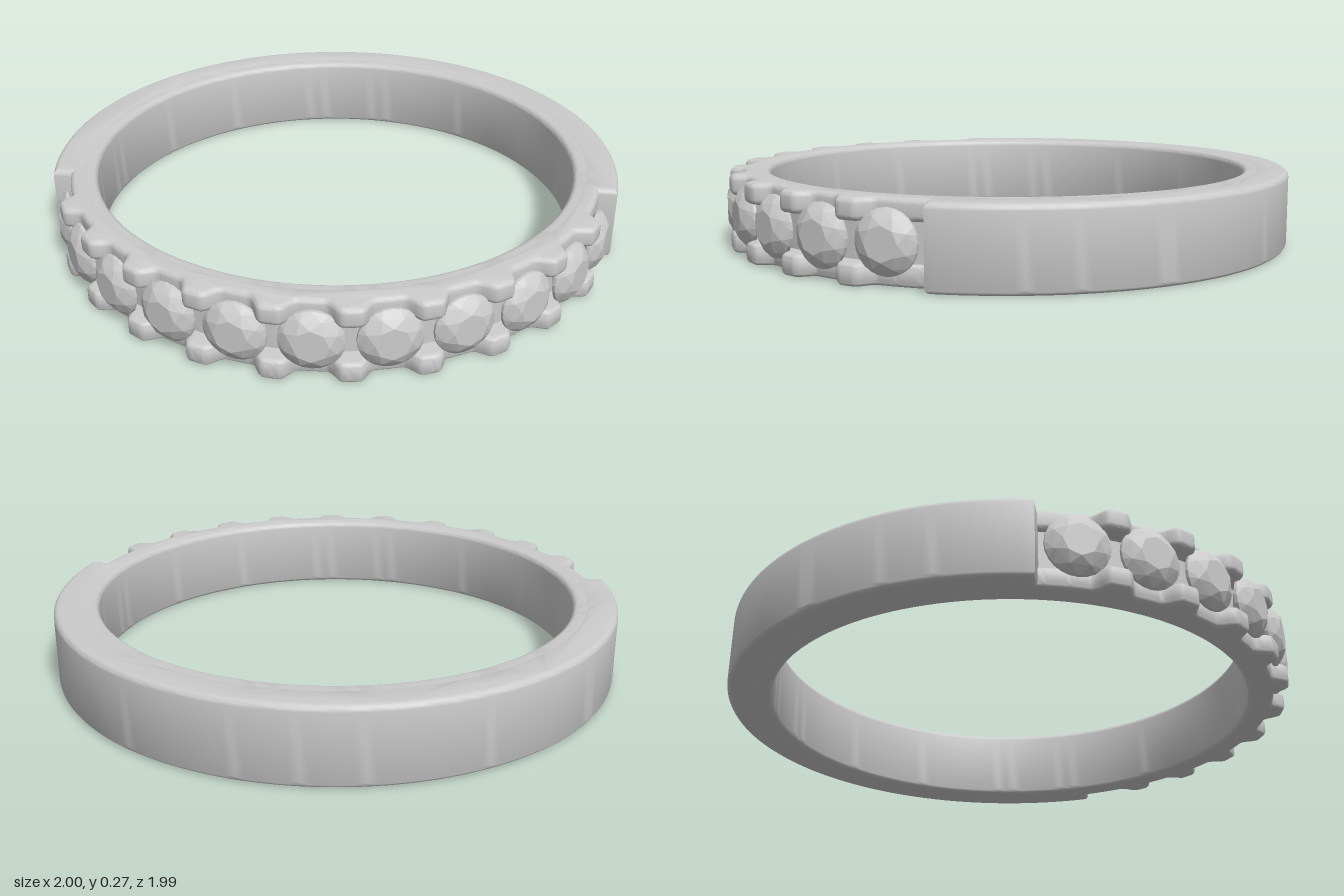
import * as THREE from 'three';
import { toCreasedNormals } from 'three/addons/utils/BufferGeometryUtils.js';
import { ConvexGeometry } from 'three/addons/geometries/ConvexGeometry.js';

const H = 0.265;                          // band height
const INNER = 0.845, CORE = 0.92;         // bore and channel floor radii
const STEP = THREE.MathUtils.degToRad(14); // angle between stones
const SIDE = 5;                           // stones on each side of the middle one

// plan point at angle a from the front (+z), ready for extruding upwards
const plan = (r, a) => new THREE.Vector2(r * Math.sin(a), -r * Math.cos(a));

// flat outline raised from y0 to y0 + h with rounded edges
function slab(points, y0, h, bevel) {
  const geo = new THREE.ExtrudeGeometry(new THREE.Shape(points), {
    depth: h - 2 * bevel, bevelThickness: bevel, bevelSize: bevel,
    bevelOffset: -bevel, bevelSegments: 4, steps: 1,
  });
  geo.rotateX(-Math.PI / 2);
  geo.translate(0, y0 + bevel, 0);
  return toCreasedNormals(geo, 0.7);
}

// outer radius of a rail: prongs between stones, notches beside them
function railRadius(a) {
  const k = THREE.MathUtils.clamp(Math.round(a / STEP), -SIDE, SIDE);
  let t = Math.abs(a - k * STEP);
  if (Math.abs(a) > SIDE * STEP) t = 0;
  return 0.938 + 0.05 * THREE.MathUtils.smoothstep(t, 0.045, 0.095);
}

// brilliant-cut stone facing +z, girdle at z = 0
function stoneGeometry() {
  const pts = [new THREE.Vector3(0, 0, -0.06)];
  const ring = (n, r, z, turn) => {
    for (let i = 0; i < n; i++) {
      const a = ((i + turn) / n) * Math.PI * 2;
      pts.push(new THREE.Vector3(r * Math.cos(a), r * Math.sin(a), z));
    }
  };
  ring(8, 0.055, 0.04, 0);
  ring(8, 0.083, 0.025, 0.5);
  ring(24, 0.102, 0.005, 0);
  ring(24, 0.102, -0.005, 0);
  return new ConvexGeometry(pts);
}

export function createModel() {
  const ringGroup = new THREE.Group();
  ringGroup.name = 'ring';
  const metal = new THREE.MeshStandardMaterial({ color: 0xcccccc });
  const gem = new THREE.MeshStandardMaterial({ color: 0xcccccc, flatShading: true });
  const add = (name, geo, mat) => {
    const mesh = new THREE.Mesh(geo, mat);
    mesh.name = name;
    ringGroup.add(mesh);
    return mesh;
  };

  // inner band, rounded at the bore edges
  const b = 0.02;
  const profile = [new THREE.Vector2(CORE, 0.002), new THREE.Vector2(CORE, H - 0.002)];
  for (let i = 0; i <= 4; i++) {
    const a = (i / 4) * Math.PI / 2;
    profile.push(new THREE.Vector2(INNER + b - b * Math.sin(a), H - b + b * Math.cos(a)));
  }
  for (let i = 0; i <= 4; i++) {
    const a = (i / 4) * Math.PI / 2;
    profile.push(new THREE.Vector2(INNER + b - b * Math.cos(a), b - b * Math.sin(a)));
  }
  profile.push(profile[0].clone());
  add('innerBand', toCreasedNormals(new THREE.LatheGeometry(profile, 160), 0.7), metal);

  // plain shank around the back, cut straight across at z = 0.21
  const shank = [];
  const arc = (r, from, to, n) => {
    for (let i = 0; i <= n; i++) shank.push(plan(r, from + (to - from) * i / n));
  };
  const outerEnd = Math.acos(0.21), innerEnd = Math.acos(0.21 / 0.88);
  arc(1, outerEnd, 2 * Math.PI - outerEnd, 110);
  arc(0.88, 2 * Math.PI - innerEnd, innerEnd, 90);
  add('shank', slab(shank, 0, H, 0.02), metal);

  // scalloped rails above and below the stones
  const rail = [];
  const end = THREE.MathUtils.degToRad(80), n = 240;
  for (let i = 0; i <= n; i++) {
    const a = -end + 2 * end * i / n;
    rail.push(plan(railRadius(a), a));
  }
  for (let i = 0; i <= 60; i++) rail.push(plan(0.87, end - 2 * end * i / 60));
  const railHeight = 0.07;
  add('lowerRail', slab(rail, 0, railHeight, 0.018), metal);
  add('upperRail', slab(rail, H - railHeight, railHeight, 0.018), metal);

  // row of stones
  const stone = stoneGeometry();
  for (let k = -SIDE; k <= SIDE; k++) {
    const a = k * STEP;
    const mesh = add('stone', stone, gem);
    mesh.position.set(0.953 * Math.sin(a), 0.137, 0.953 * Math.cos(a));
    mesh.rotation.y = a;
  }
  return ringGroup;
}
